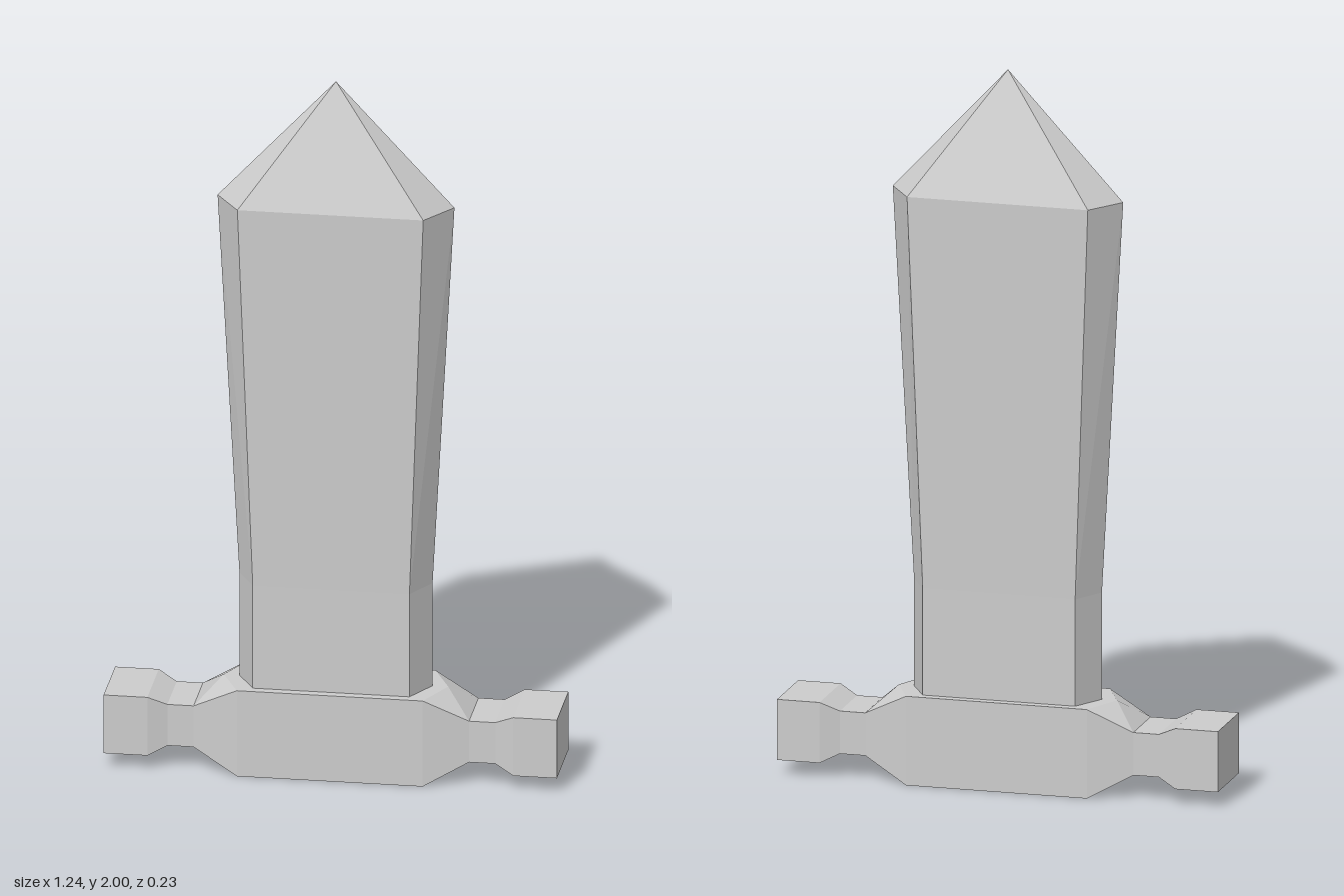
import * as THREE from 'three';

const steel = new THREE.MeshStandardMaterial({ color: 0xcccccc });
steel.name = 'lightGrey';

// Faceted skin through rings of points, with an optional flat cap on the last ring.
function loft(rings, cap) {
  const pos = [];
  const tri = (a, b, c) => {
    const t = new THREE.Triangle(...[a, b, c].map((p) => new THREE.Vector3(...p)));
    if (t.getArea() > 1e-7) pos.push(...a, ...b, ...c);
  };
  for (let r = 0; r < rings.length - 1; r++) {
    const a = rings[r], b = rings[r + 1], n = a.length;
    for (let i = 0; i < n; i++) {
      const j = (i + 1) % n;
      // the diagonal always leaves from point 0 so both sides fold alike
      if (j === 0) {
        tri(a[i], a[j], b[i]);
        tri(a[j], b[j], b[i]);
      } else {
        tri(a[i], a[j], b[j]);
        tri(a[i], b[j], b[i]);
      }
    }
  }
  const end = rings[rings.length - 1];
  if (cap) for (let i = 1; i < end.length - 1; i++) tri(end[0], end[i], end[i + 1]);
  const g = new THREE.BufferGeometry();
  g.setAttribute('position', new THREE.Float32BufferAttribute(pos, 3));
  g.computeVertexNormals();
  return g;
}

function addMesh(parent, name, geometry) {
  const mesh = new THREE.Mesh(geometry, steel);
  mesh.name = name;
  parent.add(mesh);
  return mesh;
}

export function createModel() {
  const model = new THREE.Group();
  model.name = 'shortSword';

  // Blade: six-sided section, widening upward and closing to a point
  const hex = (y, w, c, z) =>
    [[-c, y, z], [c, y, z], [w, y, 0], [c, y, -z], [-c, y, -z], [-w, y, 0]];
  addMesh(model, 'blade', loft([
    hex(0.24, 0.265, 0.215, 0.09),
    hex(0.55, 0.265, 0.215, 0.09),
    hex(1.65, 0.325, 0.255, 0.105),
    hex(2, 0, 0, 0),
  ]));

  // Guard: one half from centre to tip; the top ridge point may lie further out
  const section = (x, y0, y1, z, ridgeX = x) =>
    [[ridgeX, y1, 0], [x, y1, z], [x, y0, z], [x, y0, -z], [x, y1, -z]];
  const half = loft([
    section(0, 0, 0.25, 0.115),
    section(0.255, 0, 0.25, 0.115, 0.308),
    section(0.378, 0.067, 0.187, 0.086),
    section(0.45, 0.067, 0.187, 0.086),
    section(0.502, 0.042, 0.212, 0.105),
    section(0.622, 0.042, 0.212, 0.105),
  ], true);
  addMesh(model, 'guardLeft', half);
  addMesh(model, 'guardRight', half).rotation.y = Math.PI;

  return model;
}
